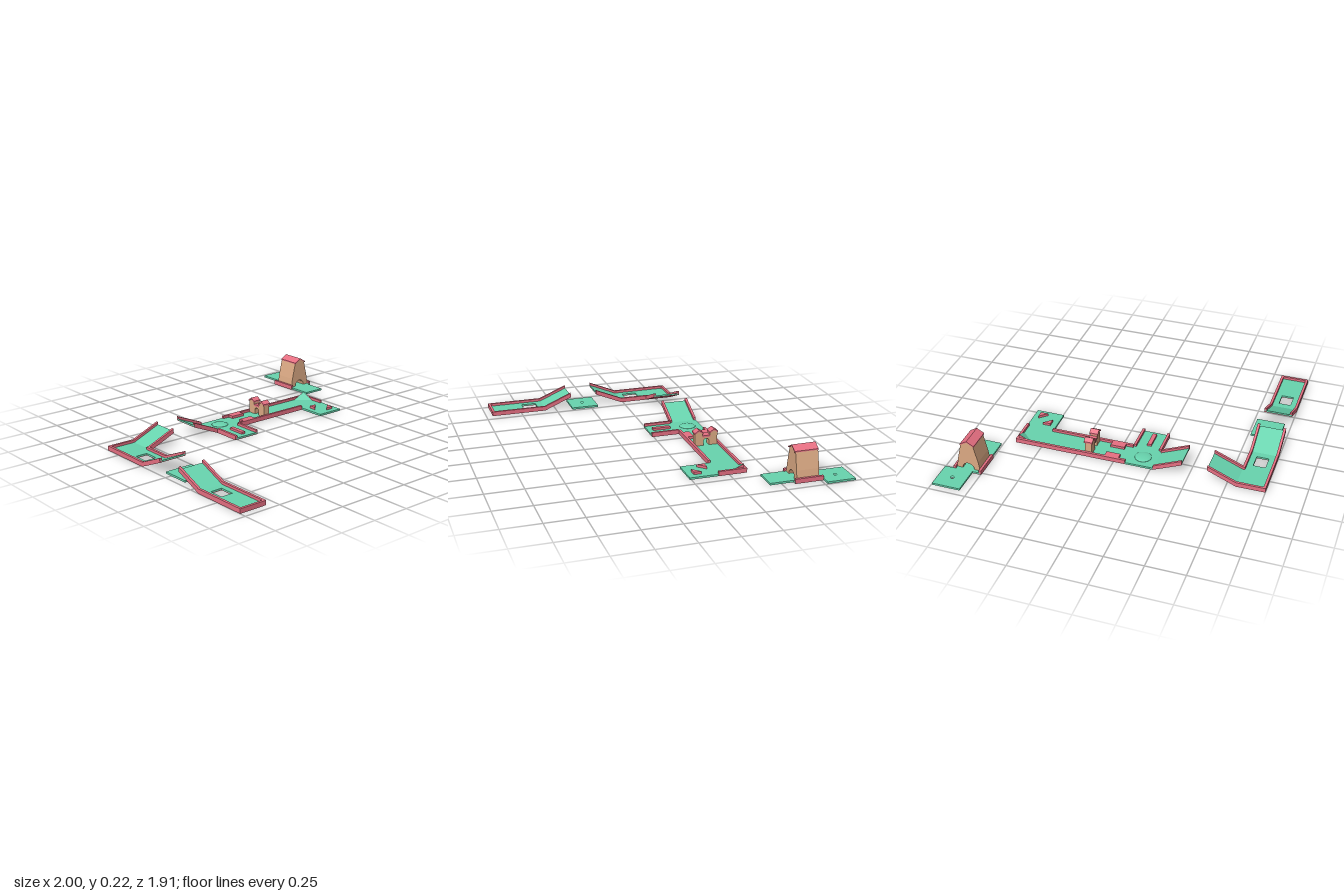
import * as THREE from 'three';

const GREEN = new THREE.MeshStandardMaterial({ color: 0x68d4ae });
const RED = new THREE.MeshStandardMaterial({ color: 0xe66f82 });
const TAN = new THREE.MeshStandardMaterial({ color: 0xdcaa84 });
const DARK = new THREE.MeshStandardMaterial({ color: 0x66736e });

const T = 0.189;      // tile size
const H = T / 2;
const W = 0.016;      // wall thickness
const WALL = 0.03;    // wall height
const FLOOR = 0.013;  // turf height
const BASE = 0.004;   // underside slab
const RISE = 0.08;    // ramp rise

const v2 = ([x, y]) => new THREE.Vector2(x, y);

function mesh(name, geometry, material) {
  const m = new THREE.Mesh(geometry, material);
  m.name = name;
  return m;
}

function box(x0, x1, y0, y1, z0, z1) {
  return new THREE.BoxGeometry(x1 - x0, y1 - y0, z1 - z0)
    .translate((x0 + x1) / 2, (y0 + y1) / 2, (z0 + z1) / 2);
}

// Upright prism over a plan outline of [x, z] points, with an optional hole
function prism(points, y0, y1, hole) {
  const shape = new THREE.Shape(points.map(([x, z]) => new THREE.Vector2(x, -z)));
  if (hole) shape.holes.push(hole);
  return new THREE.ExtrudeGeometry(shape, { depth: y1 - y0, bevelEnabled: false, curveSegments: 12 })
    .rotateX(-Math.PI / 2).translate(0, y0, 0);
}

const square = (hx, hz) => [[-hx, -hz], [hx, -hz], [hx, hz], [-hx, hz]];

// Extrude a facade outline between two depths
function facade(points, z0, z1) {
  return new THREE.ExtrudeGeometry(new THREE.Shape(points.map(v2)),
    { depth: z1 - z0, bevelEnabled: false }).translate(0, 0, z0);
}

// Round-topped passage, listed from its right foot to its left foot
function archPoints(r, springY) {
  const pts = [[r, FLOOR]];
  for (let i = 0; i <= 12; i++) {
    const a = (i / 12) * Math.PI;
    pts.push([r * Math.cos(a), springY + r * Math.sin(a)]);
  }
  pts.push([-r, FLOOR]);
  return pts;
}

// Bent roof sheet
const chevron = (hw, eave, peak, t) =>
  [[-hw, eave], [0, peak - t], [hw, eave], [hw, eave + t], [0, peak], [-hw, eave + t]];

// Course tile; walls are given by compass letters (n = -z, e = +x), lift is the uphill direction
function tile(name, x, z, { walls = '', lift, opening = false, post, base = RED } = {}) {
  const g = new THREE.Group();
  g.name = name;
  g.position.set(x + H, 0, z + H);
  const hole = () => opening ? new THREE.Path(square(0.04, 0.05).map(v2)) : null;
  const add = (n, geo, mat) => {
    if (lift) {
      const p = geo.attributes.position;
      for (let i = 0; i < p.count; i++) {
        const s = 0.5 + (p.getX(i) * lift[0] + p.getZ(i) * lift[1]) / T;
        p.setY(i, p.getY(i) + RISE * s);
      }
      geo.computeVertexNormals();
    }
    g.add(mesh(n, geo, mat));
  };
  add('underside', prism(square(H, H), 0, BASE, hole()), base);
  add('turf', prism(square(H, H), BASE, FLOOR, hole()), GREEN);
  const e = H + 0.0004; // walls stand a hair proud of the slab
  const spans = {
    w: [-e, -H + W, -H, H], e: [H - W, e, -H, H],
    n: [-H, H, -e, -H + W], s: [-H, H, H - W, e],
  };
  for (const c of walls) {
    const [x0, x1, z0, z1] = spans[c];
    add('wall', box(x0, x1, 0, WALL, z0, z1), RED);
  }
  if (post) add('cornerPost', box(H - W, H, 0, WALL, H - W, H), RED);
  return g;
}

// Flat tile with the target cup
function cupTile(x, z) {
  const g = new THREE.Group();
  g.name = 'cupTile';
  g.position.set(x + H, 0, z + H);
  const cup = new THREE.Path().absarc(0, 0, 0.012, 0, Math.PI * 2, true);
  g.add(mesh('underside', box(-H, H, 0, BASE, -H, H), GREEN));
  g.add(mesh('turf', prism(square(H, H), BASE, FLOOR, cup), GREEN));
  g.add(mesh('cup', new THREE.CircleGeometry(0.012, 20).rotateX(-Math.PI / 2).translate(0, BASE + 0.001, 0), DARK));
  return g;
}

// Gate with two gabled towers, passage along x
function gate() {
  const g = new THREE.Group();
  g.name = 'towerGate';
  const outline = [[-0.077, FLOOR], [-0.077, 0.096], [-0.052, 0.115], [-0.027, 0.096], [-0.027, 0.074],
    [0.027, 0.074], [0.027, 0.096], [0.052, 0.115], [0.077, 0.096], [0.077, FLOOR], ...archPoints(0.02, 0.04)];
  g.add(mesh('gateBody', facade(outline, -0.023, 0.023), TAN));
  g.add(mesh('bridgeCap', box(-0.027, 0.027, 0.07, 0.082, -0.026, 0.026), RED));
  for (const s of [-1, 1]) {
    const roof = mesh('towerRoof', facade(chevron(0.029, 0.094, 0.123, 0.01), -0.029, 0.029), RED);
    roof.position.x = s * 0.052;
    g.add(roof);
  }
  g.rotation.y = Math.PI / 2;
  return g;
}

// Tapered house with a tunnel along z
function house() {
  const g = new THREE.Group();
  g.name = 'tunnelHouse';
  const outline = [[-0.08, FLOOR], [-0.07, 0.075], [-0.043, 0.19], [0, 0.215], [0.043, 0.19], [0.07, 0.075],
    [0.08, FLOOR], ...archPoints(0.04, FLOOR + 0.0005)];
  g.add(mesh('houseBody', facade(outline, -0.072, 0.078), TAN));
  g.add(mesh('houseRoof', facade(chevron(0.048, 0.186, 0.222, 0.008), -0.073, 0.086), RED));
  return g;
}

// Banked corner: sloping turf triangle with upright backs
function cornerBank() {
  const g = new THREE.Group();
  g.name = 'cornerBank';
  const a = [-0.088, FLOOR, 0], b = [0, FLOOR, 0.088], c = [0, FLOOR, 0], top = [0, 0.055, 0];
  const tri = (...faces) => {
    const geo = new THREE.BufferGeometry();
    geo.setAttribute('position', new THREE.Float32BufferAttribute(faces.flat(2), 3));
    geo.computeVertexNormals();
    return geo;
  };
  g.add(mesh('bankSlope', tri([a, b, top]), GREEN));
  g.add(mesh('bankBack', tri([a, top, c], [b, c, top]), RED));
  return g;
}

export function createModel() {
  const model = new THREE.Group();
  model.name = 'miniGolfCourse';
  const put = (o, x = 0, y = 0, z = 0) => { o.position.set(x, y, z); model.add(o); };
  const back = -0.368, row = back + T;

  // Start run with jump and its cup tile
  model.add(
    tile('startEnd', -1, 0.766, { walls: 'wes' }),
    tile('openingTile', -1, 0.577, { walls: 'we', opening: true }),
    tile('jumpRamp', -1, 0.388, { walls: 'we', lift: [0, -1] }),
    cupTile(-0.957, 0.199),
  );

  // Landing run, corner and second jump
  model.add(
    tile('landingRamp', -1, row + T, { walls: 'we', lift: [0, 1] }),
    tile('openingTile', -1, row, { walls: 'we', opening: true }),
    tile('cornerTile', -1, back, { walls: 'wn', post: true }),
    tile('jumpRamp', -1 + T, back, { walls: 'ns', lift: [1, 0] }),
  );

  // Long lane
  const lane = -0.455, at = (i) => lane + i * T, mid = back + H;
  model.add(
    tile('landingRamp', at(0), back, { walls: 'ns', lift: [-1, 0] }),
    tile('bumpTile', at(1), back, { base: GREEN }),
    tile('blockTile', at(1), row, { walls: 'we' }),
    tile('narrowTile', at(2), back, { walls: 'ns' }),
    tile('gateTile', at(3), back, { walls: 'ns' }),
    tile('straightTile', at(4), back, { walls: 'ns' }),
    tile('bankTile', at(5), back, { walls: 'ne' }),
    tile('obstacleTile', at(5), row, { base: GREEN }),
  );
  const dome = new THREE.SphereGeometry(0.055, 32, 8, 0, Math.PI * 2, 0, Math.PI / 2).scale(1, 0.2, 1);
  put(mesh('bump', dome, GREEN), at(1) + H, FLOOR, mid);
  put(mesh('centreBlock', box(-0.014, 0.014, FLOOR, 0.028, -0.062, 0.062), RED), at(1) + H, 0, row + H);
  for (const s of [-1, 1]) {
    const z0 = s * 0.038, z1 = s * (H - W);
    put(mesh('narrowingBlock', box(-0.047, 0.047, FLOOR, WALL, Math.min(z0, z1), Math.max(z0, z1)), RED),
      at(2) + H, 0, mid);
    // Triangular deflectors, mirrored through the tile centre
    const t = [[-0.055, -0.054], [-0.003, -0.054], [-0.055, -0.004]].map(([x, z]) => [x * s, z * s]);
    put(mesh('deflector', prism(t, FLOOR, WALL), RED), at(5) + H, 0, row + H);
  }
  put(gate(), at(3) + H - 0.03, 0, mid);
  put(cornerBank(), at(6) - W, 0, back + W);

  // House with its tee mat and cup tile
  model.add(tile('houseTile', 0.747, -0.768, { walls: 'we' }), cupTile(0.806, -0.957));
  put(house(), 0.8415, 0, -0.673);
  put(mesh('teeMat', box(0.757, 0.908, 0, FLOOR, -0.579, -0.425), GREEN));
  return model;
}
